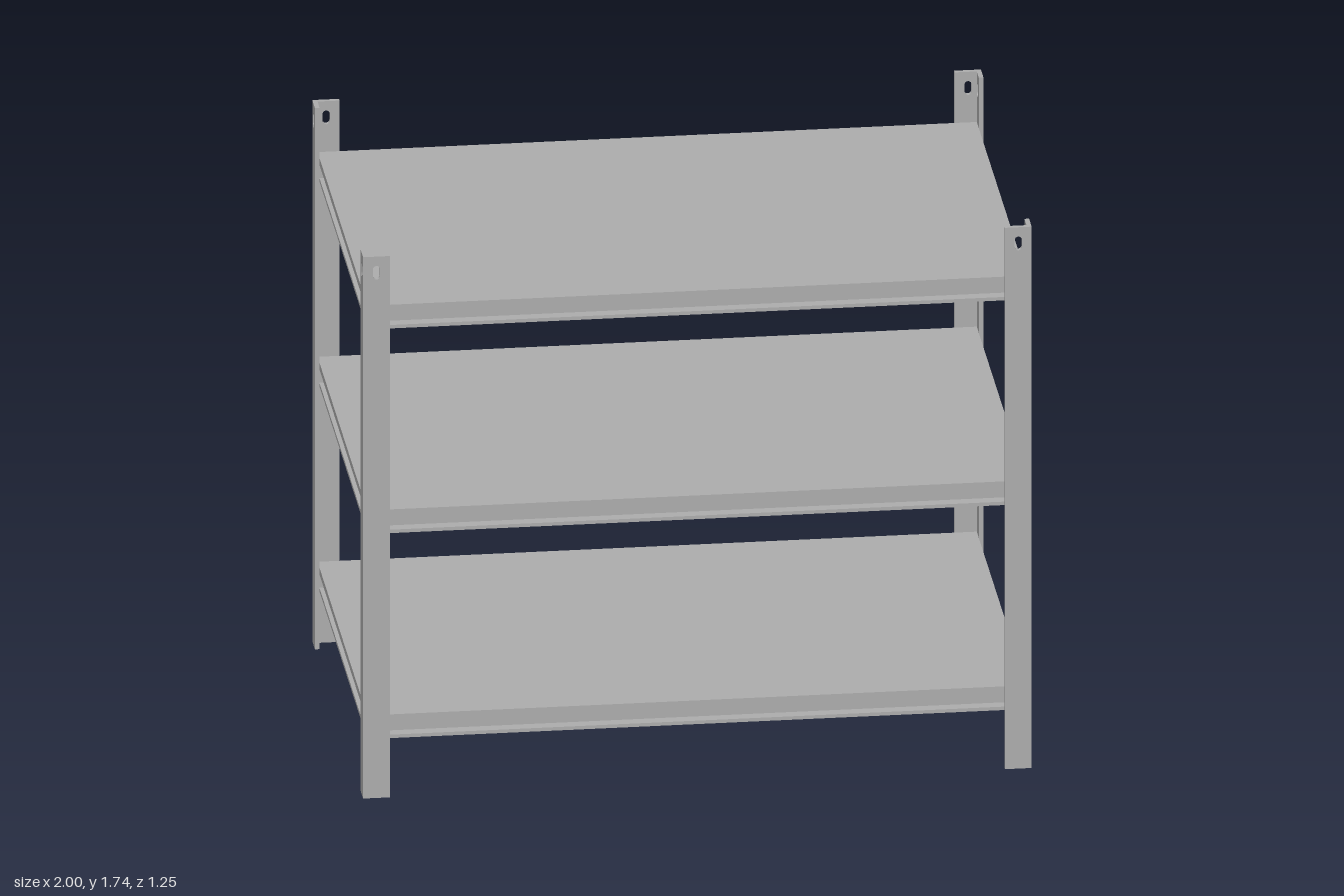
import * as THREE from 'three';

const W = 1, D = 0.625, H = 1.735;      // half width, half depth, height
const T = 0.014;                        // post sheet thickness
const FX = 0.08, FZ = 0.064;            // post flange widths
const BEAM_H = 0.065, BEAM_W = 0.045, BEAM_T = 0.011;
const PANEL_T = 0.011;

const steel = new THREE.MeshStandardMaterial({ color: 0xaeaeae });
steel.name = 'grey steel';

function mesh(name, geometry, parent, x, y, z, ry = 0) {
  const m = new THREE.Mesh(geometry, steel);
  m.name = name;
  m.position.set(x, y, z);
  m.rotation.y = ry;
  parent.add(m);
  return m;
}

// Upright plate from x0 to x1 with a rounded slot near the top, centred in depth
function slottedPlate(x0, x1, slotX) {
  const s = new THREE.Shape();
  s.moveTo(x0, 0); s.lineTo(x1, 0); s.lineTo(x1, H); s.lineTo(x0, H); s.closePath();
  const r = 0.011, y0 = 1.672, y1 = 1.694;
  const slot = new THREE.Path();
  slot.absarc(slotX, y1, r, 0, Math.PI, false);
  slot.absarc(slotX, y0, r, Math.PI, Math.PI * 2, false);
  slot.closePath();
  s.holes.push(slot);
  return new THREE.ExtrudeGeometry(s, { depth: T, bevelEnabled: false, curveSegments: 8 })
    .translate(0, 0, -T / 2);
}

// C-section open towards +x, running along z
function channel(length) {
  const s = new THREE.Shape([
    [0, 0], [BEAM_W, 0], [BEAM_W, BEAM_T], [BEAM_T, BEAM_T],
    [BEAM_T, BEAM_H - BEAM_T], [BEAM_W, BEAM_H - BEAM_T], [BEAM_W, BEAM_H], [0, BEAM_H],
  ].map(([x, y]) => new THREE.Vector2(x, y)));
  return new THREE.ExtrudeGeometry(s, { depth: length, bevelEnabled: false })
    .translate(0, 0, -length / 2);
}

// L-section corner post with a slot in each flange
function addPost(group, sx, sz) {
  const post = new THREE.Group();
  post.name = 'cornerPost';
  group.add(post);
  const a = sx * (W - FX), b = sx * (W - T);
  mesh('postWideFlange', slottedPlate(Math.min(a, b), Math.max(a, b), sx * (W - FX / 2)),
    post, 0, 0, sz * (D - T / 2));
  mesh('postSideFlange', slottedPlate(-FZ / 2, FZ / 2, 0),
    post, sx * (W - T / 2), 0, sz * (D - FZ / 2), Math.PI / 2);
}

// Panel on a frame of four channels, stiffened by ribs underneath
function addShelf(group, y) {
  const shelf = new THREE.Group();
  shelf.name = 'shelf';
  shelf.position.y = y;
  group.add(shelf);
  const hx = W - T, hz = D - T;
  mesh('shelfPanel', new THREE.BoxGeometry(hx * 2, PANEL_T, hz * 2), shelf, 0, BEAM_H + PANEL_T / 2, 0);

  const longBeam = channel(hx * 2), endBeam = channel((hz - BEAM_W) * 2);
  for (const s of [1, -1]) {
    mesh(s > 0 ? 'frontBeam' : 'backBeam', longBeam, shelf, 0, 0, s * (hz - BEAM_W), -s * Math.PI / 2);
    mesh(s > 0 ? 'leftBeam' : 'rightBeam', endBeam, shelf, s * (hx - BEAM_W), 0, 0, s > 0 ? 0 : Math.PI);
  }

  const rib = new THREE.BoxGeometry(0.05, 0.025, (hz - BEAM_W) * 2);
  for (const x of [-0.73, 0, 0.73]) mesh('shelfRib', rib, shelf, x, BEAM_H - 0.0125, 0);
}

export function createModel() {
  const rack = new THREE.Group();
  rack.name = 'shelvingRack';
  for (const sx of [1, -1]) for (const sz of [1, -1]) addPost(rack, sx, sz);
  for (const y of [0.184, 0.841, 1.497]) addShelf(rack, y);
  return rack;
}
